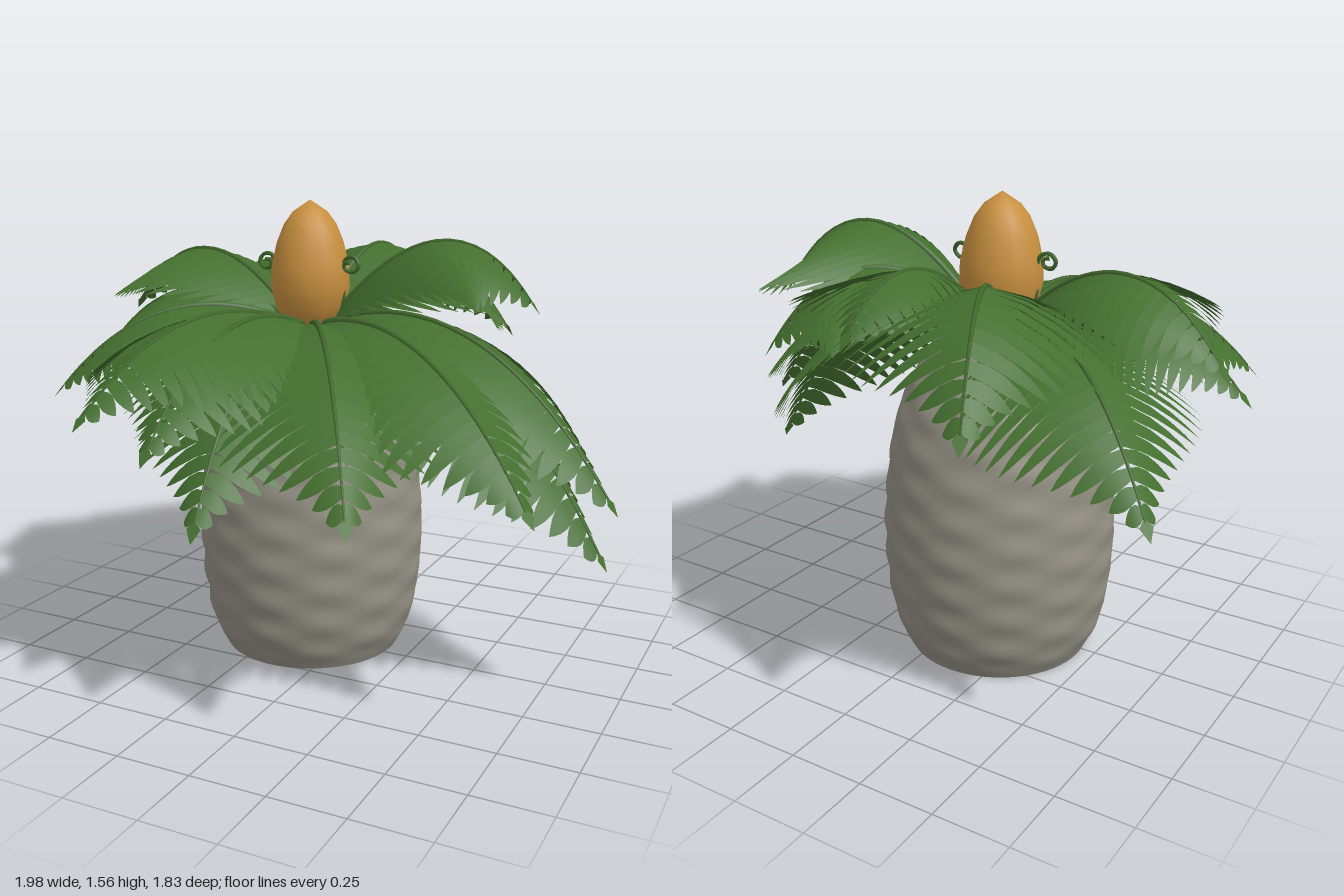
import * as THREE from 'three';
import { mergeVertices, mergeGeometries } from 'three/addons/utils/BufferGeometryUtils.js';

const CX = -0.14, CZ = -0.045;

const leafMat = new THREE.MeshStandardMaterial({ color: 0x446f2f, side: THREE.DoubleSide });
leafMat.name = 'leaf green';
const stemMat = new THREE.MeshStandardMaterial({ color: 0x42692d });
stemMat.name = 'stem green';
const trunkMat = new THREE.MeshStandardMaterial({ color: 0x949084, side: THREE.DoubleSide });
trunkMat.name = 'trunk grey';
const coneMat = new THREE.MeshStandardMaterial({ color: 0xc8903f });
coneMat.name = 'cone orange';

// Lathe about the plant's axis, with smooth normals and no seam
function turned(points, segments, bump) {
  let g = new THREE.LatheGeometry(points, segments);
  g.deleteAttribute('uv');
  g.deleteAttribute('normal');
  g = mergeVertices(g, 1e-5);
  const p = g.attributes.position;
  if (bump) {
    for (let i = 0; i < p.count; i++) {
      const x = p.getX(i), y = p.getY(i), z = p.getZ(i);
      const r = Math.hypot(x, z);
      const k = (r + bump(Math.atan2(z, x), y)) / r;
      p.setX(i, x * k);
      p.setZ(i, z * k);
    }
  }
  g.computeVertexNormals();
  return g;
}

// Half the blade: leaflets joined along the rib, loose and rounded near the tip
function leafletRow(curve, side, scale) {
  const N = 22;
  // distance out, width on the inner frond, width near the tip
  const steps = [[0, 1, 0.6], [0.3, 1, 0.95], [0.55, 0.92, 1],
    [0.75, 0.7, 0.75], [0.9, 0.4, 0.38], [1, 0.02, 0.02]];
  const up = new THREE.Vector3(0, 1, 0);
  const pos = [], index = [];
  const along = (u) => Math.pow(u, 1.2);
  for (let i = 0; i < N; i++) {
    const t0 = along(i / N), t1 = along((i + 1) / N), tm = (t0 + t1) / 2;
    const w = (0.035 + 0.34 * Math.pow(Math.sin(Math.PI * Math.pow(tm, 0.75)), 1.3)) * scale;
    const loose = THREE.MathUtils.smoothstep(tm, 0.68, 0.9);
    const tan = curve.getTangentAt(tm);
    const out = new THREE.Vector3().crossVectors(tan, up).normalize().multiplyScalar(side);
    const down = new THREE.Vector3().crossVectors(tan, out).normalize();
    if (down.y > 0) down.negate();
    const start = pos.length / 3;
    steps.forEach(([s, inner, outer], j) => {
      const width = THREE.MathUtils.lerp(inner, outer, loose) * 1.04;
      for (const e of [-1, 1]) {
        const t = THREE.MathUtils.clamp(tm + e * width * (t1 - t0) / 2, 0, 1);
        const v = curve.getPointAt(t)
          .addScaledVector(out, w * s)
          .addScaledVector(tan, 0.42 * w * Math.pow(s, 1.4))
          .addScaledVector(down, w * (0.15 * s + 0.33 * s * s));
        pos.push(v.x, v.y, v.z);
      }
      if (j) {
        const a = start + j * 2 - 2, b = a + 1, c = a + 2, d = a + 3;
        if (side > 0) index.push(a, c, b, b, c, d);
        else index.push(a, b, c, b, d, c);
      }
    });
  }
  // Half of the pointed end leaflet
  const tan = curve.getTangentAt(1);
  const out = new THREE.Vector3().crossVectors(tan, up).normalize().multiplyScalar(side);
  const n = pos.length / 3;
  for (const [f, o] of [[-0.01, 0], [0.015, 0.022], [0.06, 0]]) {
    const v = curve.getPointAt(1).addScaledVector(tan, f).addScaledVector(out, o);
    pos.push(v.x, v.y, v.z);
  }
  if (side > 0) index.push(n, n + 1, n + 2);
  else index.push(n, n + 2, n + 1);

  const g = new THREE.BufferGeometry();
  g.setAttribute('position', new THREE.Float32BufferAttribute(pos, 3));
  g.setIndex(index);
  g.computeVertexNormals();
  return g;
}

// Arching frond from the crown through a mid height to its tip
function makeFrond([x, y, z, midY, spread = 1]) {
  const tip = new THREE.Vector3(x, y, z);
  const dir = new THREE.Vector3(x - CX, 0, z - CZ);
  const reach = dir.length();
  dir.normalize();
  const base = new THREE.Vector3(CX, 1.15, CZ).addScaledVector(dir, 0.07);
  const ctrl = base.clone().add(tip).multiplyScalar(0.5).addScaledVector(dir, 0.04);
  ctrl.y = 2 * midY - (base.y + tip.y) / 2;
  // Leave room for the end leaflet
  tip.addScaledVector(tip.clone().sub(ctrl).normalize(), -0.06);
  const curve = new THREE.QuadraticBezierCurve3(base, ctrl, tip);
  const frond = new THREE.Group();
  frond.name = 'frond';
  const scale = THREE.MathUtils.clamp(reach / 0.95, 0.85, 1.1) * spread;
  const blade = new THREE.Mesh(
    mergeGeometries([leafletRow(curve, 1, scale), leafletRow(curve, -1, scale)]), leafMat);
  blade.name = 'blade';

  // Rib thins towards the tip
  const ribGeo = new THREE.TubeGeometry(curve, 20, 0.014, 6);
  const p = ribGeo.attributes.position;
  const v = new THREE.Vector3();
  for (let i = 0; i < p.count; i++) {
    const t = Math.floor(i / 7) / 20;
    const c = curve.getPointAt(t);
    v.fromBufferAttribute(p, i).sub(c).multiplyScalar(1 - 0.8 * t).add(c);
    p.setXYZ(i, v.x, v.y, v.z);
  }
  const rib = new THREE.Mesh(ribGeo, stemMat);
  rib.name = 'rib';
  frond.add(blade, rib);
  return frond;
}

export function createModel() {
  const model = new THREE.Group();
  model.name = 'cycad';

  // Hollow barrel trunk with faint staggered scale bumps
  const outline = new THREE.SplineCurve([
    [0.31, 0], [0.355, 0.1], [0.382, 0.25], [0.391, 0.42], [0.381, 0.6],
    [0.35, 0.8], [0.29, 0.96], [0.21, 1.08], [0.15, 1.13],
  ].map(([r, y]) => new THREE.Vector2(r, y)));
  const bump = (a, y) => {
    const fade = THREE.MathUtils.smoothstep(y, 0, 0.08);
    return fade * (0.0025 * Math.sin(5 * a + y * 52) + 0.0025 * Math.sin(-7 * a + y * 48));
  };
  const trunk = new THREE.Mesh(turned(outline.getPoints(72), 64, bump), trunkMat);
  trunk.name = 'trunk';
  trunk.position.set(CX, 0, CZ);
  model.add(trunk);

  // Seed cone
  const coneProfile = [
    [0, 1.12], [0.08, 1.14], [0.118, 1.2], [0.137, 1.27], [0.134, 1.34],
    [0.115, 1.42], [0.09, 1.48], [0.06, 1.52], [0, 1.56],
  ].map(([r, y]) => new THREE.Vector2(r, y));
  const cone = new THREE.Mesh(turned(coneProfile, 14), coneMat);
  cone.name = 'seedCone';
  cone.position.set(CX, 0, CZ);
  model.add(cone);

  // Curled young shoots beside the cone
  for (const s of [-1, 1]) {
    const pts = [[0.1, 1.17], [0.125, 1.24], [0.12, 1.32], [0.14, 1.37], [0.17, 1.375],
      [0.188, 1.35], [0.17, 1.328], [0.14, 1.335], [0.14, 1.355], [0.16, 1.358]]
      .map(([x, y], i) => new THREE.Vector3(CX + s * x, y, CZ + 0.003 * i));
    const shoot = new THREE.Mesh(
      new THREE.TubeGeometry(new THREE.CatmullRomCurve3(pts), 40, 0.007, 6), stemMat);
    shoot.name = 'curledShoot';
    model.add(shoot);
  }

  // Fronds: tip x, y, z, height halfway along, and blade spread
  const fronds = [
    [-0.54, 1.04, -0.92, 1.35, 1.1],
    [-0.94, 0.78, -0.61, 1.15],
    [-0.99, 1.12, -0.23, 1.36, 1.05],
    [-0.98, 0.98, 0.0, 1.23],
    [-0.83, 0.92, 0.49, 1.19],
    [-0.42, 0.94, 0.91, 1.2],
    [-0.19, 0.86, 0.91, 1.17],
    [-0.03, 0.66, 0.91, 1.09],
    [0.43, 0.72, 0.86, 1.11],
    [0.85, 0.72, 0.55, 1.12],
    [0.96, 0.47, 0.12, 1.06],
    [0.99, 0.66, 0.15, 1.14],
    [0.63, 1.2, -0.18, 1.42, 1.45],
    [0.42, 1.06, -0.56, 1.32, 1.2],
    [-0.05, 1.2, -0.77, 1.37, 1.25],
  ];
  for (const f of fronds) model.add(makeFrond(f));

  return model;
}
